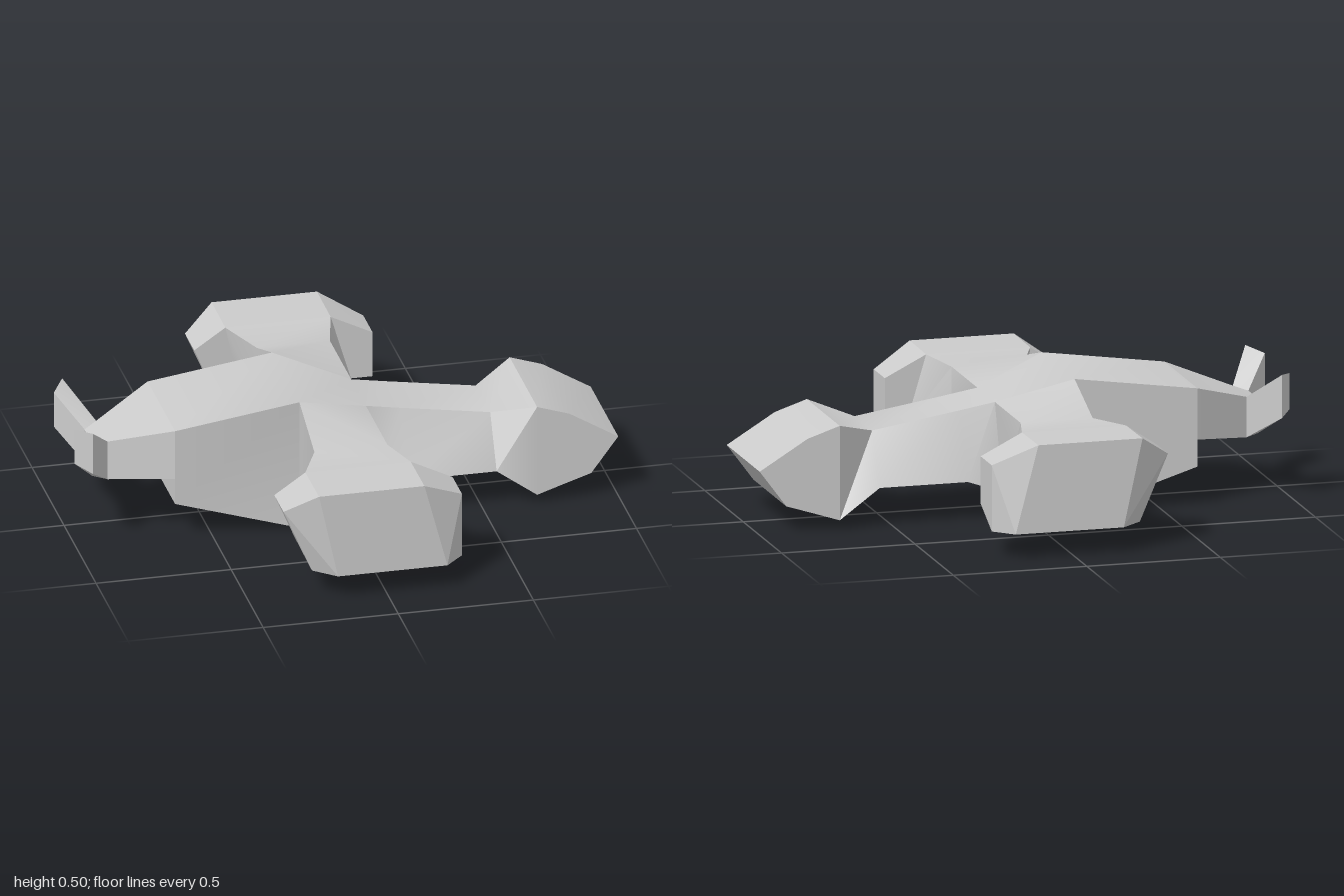
import * as THREE from 'three';
import { toCreasedNormals } from 'three/addons/utils/BufferGeometryUtils.js';
import { ConvexGeometry } from 'three/addons/geometries/ConvexGeometry.js';

const material = new THREE.MeshStandardMaterial({ color: 0xcccccc });

function addMesh(group, name, geometry) {
  const mesh = new THREE.Mesh(geometry, material);
  mesh.name = name;
  group.add(mesh);
}

// Joins four-cornered rings of points into a closed, outward-facing solid.
function loft(rings) {
  const tris = [];
  const quad = (a, b, c, d) => tris.push([a, b, c], [a, c, d]);
  for (let i = 0; i < rings.length - 1; i++) {
    const r = rings[i], s = rings[i + 1];
    for (let j = 0; j < 4; j++) {
      const k = (j + 1) % 4;
      quad(r[j], s[j], s[k], r[k]);
    }
  }
  quad(...rings[0]);
  quad(...[...rings[rings.length - 1]].reverse());
  // a negative volume means the faces point inwards
  let volume = 0;
  for (const t of tris) {
    const [a, b, c] = t.map((p) => new THREE.Vector3(...p));
    volume += a.dot(b.cross(c));
  }
  if (volume < 0) tris.forEach((t) => t.reverse());
  const geometry = new THREE.BufferGeometry();
  geometry.setAttribute('position', new THREE.Float32BufferAttribute(tris.flat(2), 3));
  return toCreasedNormals(geometry, 0.5);
}

// Hull section: x and y of the top and bottom edges with their half widths.
const section = (xTop, yTop, wTop, xBot, yBot, wBot) => [
  [xTop, yTop, wTop], [xTop, yTop, -wTop], [xBot, yBot, -wBot], [xBot, yBot, wBot],
];

export function createModel() {
  const group = new THREE.Group();

  // Fuselage: hull, narrow-topped neck and wedge nose
  addMesh(group, 'fuselage', loft([
    section(-0.64, 0.435, 0.215, -0.64, 0.145, 0.215),
    section(-0.18, 0.5, 0.215, -0.18, 0.0, 0.215),
    section(0.09, 0.41, 0.115, 0.09, 0.1, 0.215),
    section(0.22, 0.388, 0.115, 0.22, 0.145, 0.215),
    section(0.55, 0.335, 0.115, 0.55, 0.145, 0.215),
    section(0.7, 0.385, 0.215, 0.7, 0.035, 0.215),
    section(0.82, 0.345, 0.215, 0.8, 0.068, 0.215),
    section(1, 0.235, 0.215, 0.9, 0.1, 0.215),
  ]));

  // Tapered tail
  addMesh(group, 'tail', loft([
    section(-0.64, 0.435, 0.215, -0.64, 0.245, 0.215),
    section(-0.86, 0.36, 0.09, -0.86, 0.21, 0.09),
    section(-0.91, 0.345, 0.06, -0.91, 0.215, 0.06),
  ]));

  for (const [side, s] of [['left', 1], ['right', -1]]) {
    const m = ([x, y, z]) => [x, y, z * s];

    // Wing, widening towards its pod
    addMesh(group, side + 'Wing', loft([
      [[-0.18, 0.5, 0.215], [0.09, 0.41, 0.115], [0.09, 0.19, 0.17], [-0.18, 0.19, 0.21]],
      [[-0.18, 0.41, 0.45], [0.09, 0.41, 0.45], [0.09, 0.23, 0.45], [-0.18, 0.23, 0.45]],
      [[-0.255, 0.418, 0.625], [0.135, 0.418, 0.625], [0.21, 0.165, 0.625], [-0.2, 0.165, 0.625]],
    ].map((ring) => ring.map(m))));

    // Wingtip pod with bevelled outer end
    addMesh(group, side + 'Pod', new ConvexGeometry([
      [-0.37, 0.34, 0.625], [-0.255, 0.418, 0.625], [0.135, 0.418, 0.625],
      [0.29, 0.34, 0.625], [0.29, 0.165, 0.625], [-0.295, 0.165, 0.625],
      [-0.37, 0.34, 0.77], [0.29, 0.34, 0.77], [0.29, 0.095, 0.77], [-0.265, 0.095, 0.77],
      [-0.255, 0.42, 0.84], [0.135, 0.42, 0.84], [0.22, 0.095, 0.84], [-0.185, 0.095, 0.84],
    ].map((p) => new THREE.Vector3(...m(p)))));

    // Tail fin, flaring outwards and up
    addMesh(group, side + 'TailFin', loft([
      [[-0.86, 0.36, 0.09], [-0.91, 0.345, 0.06], [-0.91, 0.215, 0.06], [-0.86, 0.21, 0.09]],
      [[-0.95, 0.47, 0.24], [-1, 0.455, 0.16], [-1, 0.32, 0.16], [-0.95, 0.31, 0.24]],
    ].map((ring) => ring.map(m))));
  }
  return group;
}
